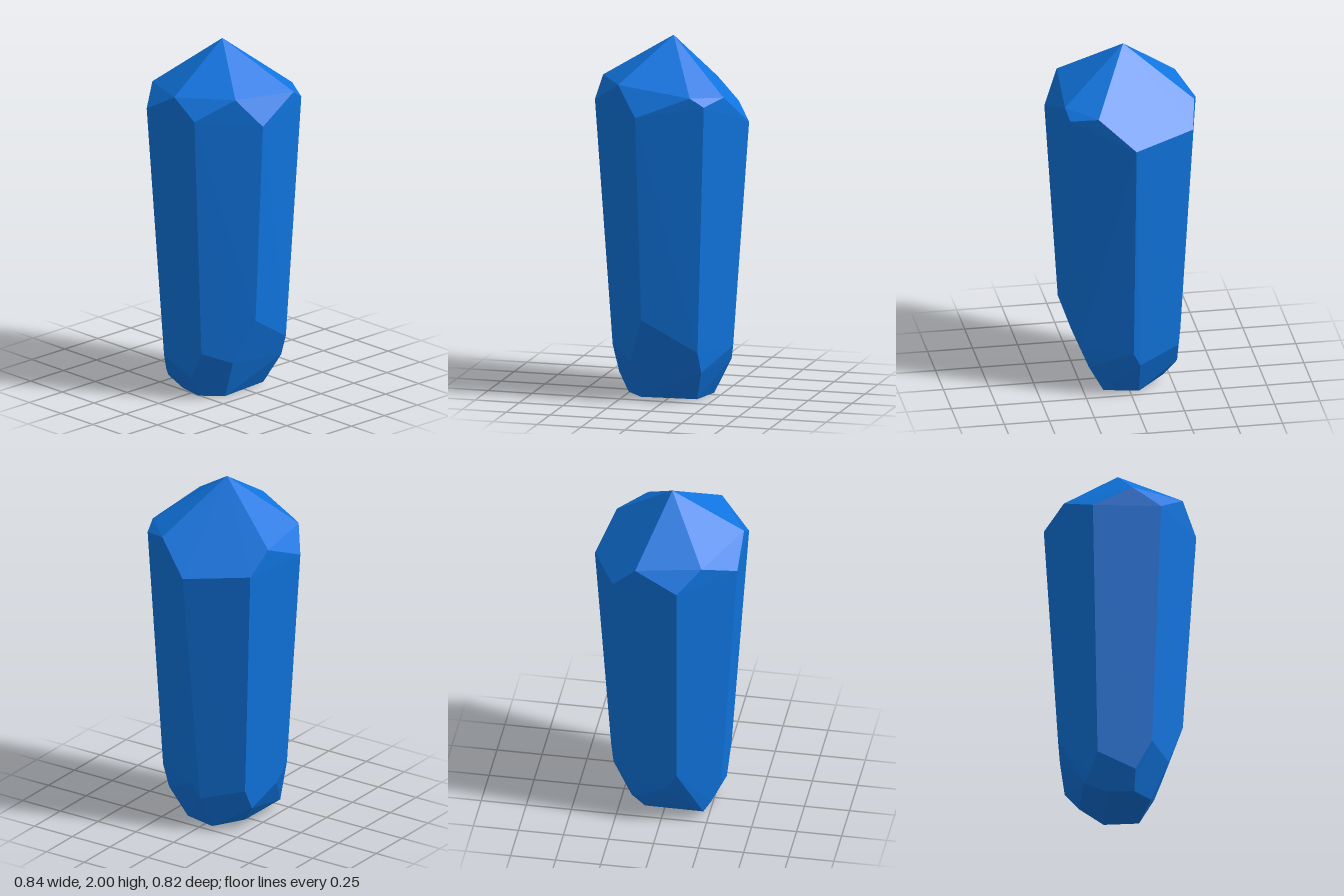
import * as THREE from 'three';
import { ConvexGeometry } from 'three/addons/geometries/ConvexGeometry.js';

const toVectors = (points) => points.map((p) => new THREE.Vector3(...p));

export function createModel() {
  const group = new THREE.Group();
  group.name = 'crystal';
  const blue = new THREE.MeshStandardMaterial({ color: 0x1075e0 });
  blue.name = 'crystal blue';

  // Off-centre tip of the pointed crown
  const tip = [[0, 2, 0.017]];

  // Crown rim: seven wall corners, with ridge ends where crown facets meet the walls
  const rim = [
    [0, 1.54, -0.413], [0.195, 1.71, -0.325],
    [0.34, 1.68, -0.255], [0.357, 1.73, -0.18],
    [0.42, 1.615, 0.113], [0.33, 1.775, 0.235],
    [0.188, 1.655, 0.41], [0.03, 1.76, 0.41],
    [-0.188, 1.64, 0.41], [-0.325, 1.72, 0.235],
    [-0.42, 1.6, 0.113], [-0.37, 1.7, -0.125], [-0.34, 1.576, -0.255],
  ];

  // Lower ends of the tapering walls, where the base facets cut them
  const wallEnds = [
    [0, 0.28, -0.322], [-0.04, 0.2, -0.302],
    [0.275, 0.29, -0.2], [0.23, 0.17, -0.208],
    [0.348, 0.47, 0.1], [0.258, 0.22, 0.185],
    [0.15, 0.28, 0.32], [0.06, 0.11, 0.309],
    [-0.15, 0.2, 0.315], [-0.185, 0.1, 0.265],
    [-0.34, 0.35, 0.1], [-0.32, 0.245, 0.03],
    [-0.268, 0.26, -0.2], [-0.272, 0.14, -0.14],
  ];

  // Small foot: flat patch plus a slightly raised edge
  const foot = [
    [0.06, 0, 0.255], [0.165, 0, 0.155], [0.14, 0, -0.158],
    [-0.05, 0, -0.2], [-0.09, 0, 0.228],
    [-0.2, 0.04, -0.1], [-0.21, 0.045, 0.225],
  ];

  // Flat-faceted solid spanning tip, walls and base
  const body = new THREE.Mesh(
    new ConvexGeometry(toVectors([...tip, ...rim, ...wallEnds, ...foot])),
    blue,
  );
  body.name = 'crystalBody';
  group.add(body);
  return group;
}
